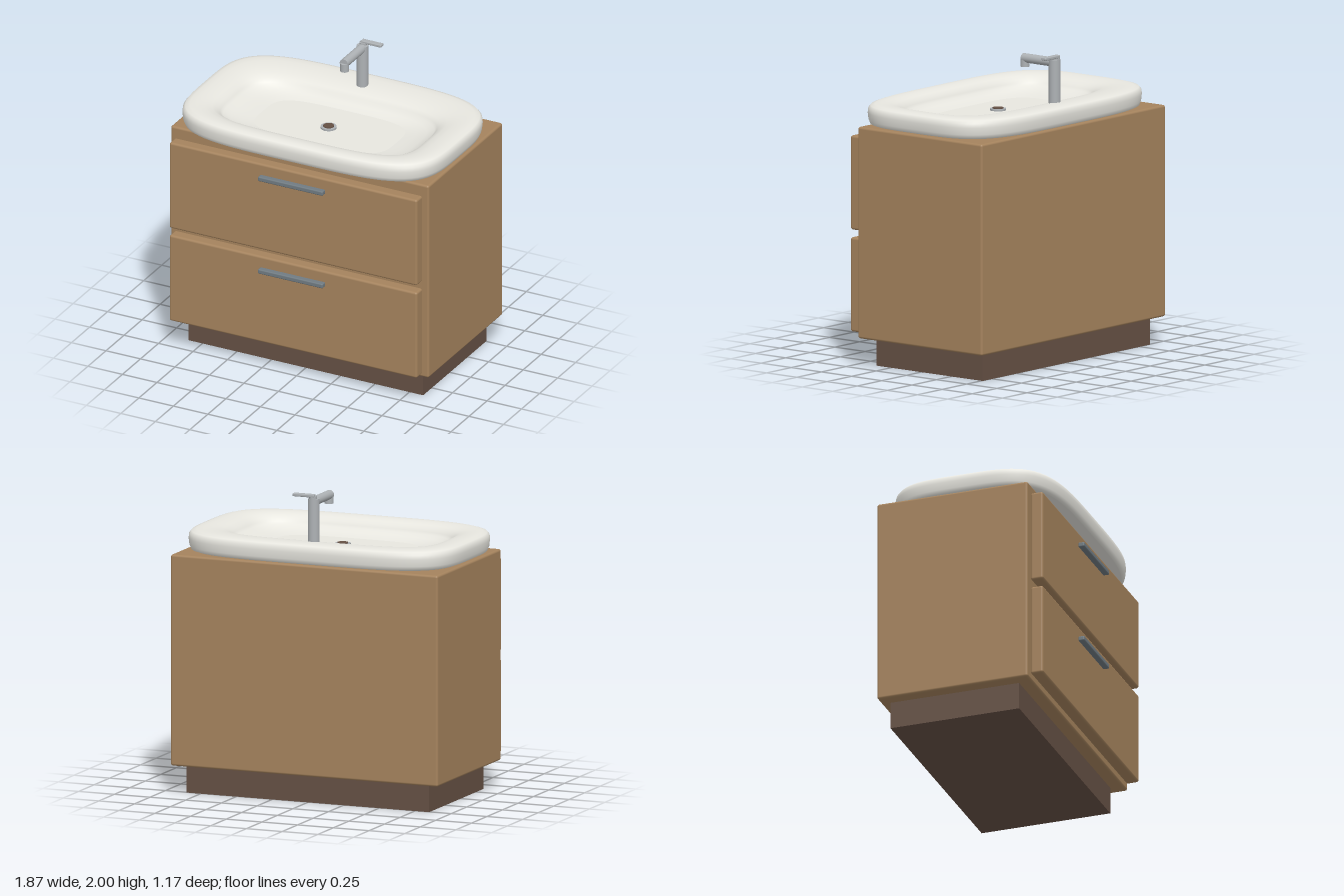
import * as THREE from 'three';
import { RoundedBoxGeometry } from 'three/addons/geometries/RoundedBoxGeometry.js';

const mat = (name, color, side = THREE.FrontSide) => {
  const m = new THREE.MeshStandardMaterial({ color, side });
  m.name = name;
  return m;
};

export function createModel() {
  const root = new THREE.Group();
  root.name = 'washstand';
  const wood = mat('wood', 0xa5835d);
  const darkWood = mat('dark wood', 0x655044);
  const ceramic = mat('white ceramic', 0xeeede6, THREE.DoubleSide);
  const chrome = mat('brushed metal', 0xadb1b4);
  const steel = mat('dark steel', 0x707b82);

  const add = (name, geo, material, x, y, z, parent = root) => {
    const m = new THREE.Mesh(geo, material);
    m.name = name;
    m.position.set(x, y, z);
    parent.add(m);
    return m;
  };
  const rounded = (w, h, d, r) => new RoundedBoxGeometry(w, h, d, 3, r);
  const tube = (r, h) => new THREE.CylinderGeometry(r, r, h, 32);

  // Cabinet body and recessed plinth
  add('plinth', new THREE.BoxGeometry(1.7, 0.185, 0.88), darkWood, 0, 0.0925, -0.07);
  add('cabinet', rounded(1.87, 1.38, 1.03, 0.015), wood, 0, 0.87, -0.057);

  // Two drawers with bar handles
  for (const [label, y, handleY] of [['lower', 0.517, 0.735], ['upper', 1.182, 1.4]]) {
    const drawer = new THREE.Group();
    drawer.name = label + 'Drawer';
    root.add(drawer);
    add('drawerFront', rounded(1.795, 0.615, 0.085, 0.015), wood, 0, y, 0.507, drawer);
    add('handle', rounded(0.47, 0.032, 0.042, 0.008), steel, 0, handleY, 0.569, drawer);
  }

  // Basin: loops of rounded rectangles, each [half width, half depth, height, centre z]
  const loft = (rings, capFacingUp) => {
    const N = 128, pos = [], idx = [];
    for (const [a, b, y, cz] of rings) {
      for (let i = 0; i < N; i++) {
        const t = (i / N) * Math.PI * 2, c = Math.cos(t), s = Math.sin(t);
        // exponent 4 superellipse in polar form
        const k = 1 / Math.pow(c ** 4 + s ** 4, 0.25);
        pos.push(a * c * k, y, cz + b * s * k);
      }
    }
    for (let r = 0; r < rings.length - 1; r++) {
      for (let i = 0; i < N; i++) {
        const p = r * N + i, q = r * N + (i + 1) % N;
        idx.push(p, p + N, q, q, p + N, q + N);
      }
    }
    // optional flat cap closing a single ring
    if (capFacingUp !== undefined) {
      const [, , y, cz] = rings[0];
      pos.push(0, y, cz);
      for (let i = 0; i < N; i++) {
        const j = (i + 1) % N;
        capFacingUp ? idx.push(N, j, i) : idx.push(N, i, j);
      }
    }
    const g = new THREE.BufferGeometry();
    g.setAttribute('position', new THREE.Float32BufferAttribute(pos, 3));
    g.setIndex(idx);
    g.computeVertexNormals();
    return g;
  };
  const basin = new THREE.Group();
  basin.name = 'basin';
  root.add(basin);
  const base = [0.905, 0.56, 1.564, 0], floor = [0.485, 0.252, 1.585, 0.04];
  const profile = [
    base, [0.92, 0.573, 1.57, 0], [0.93, 0.581, 1.595, 0], [0.935, 0.585, 1.64, 0],
    [0.932, 0.582, 1.668, 0], [0.918, 0.57, 1.686, 0], [0.89, 0.545, 1.694, 0.003],
    [0.85, 0.505, 1.695, 0.012], [0.8, 0.455, 1.691, 0.026], [0.75, 0.405, 1.68, 0.041],
    [0.715, 0.372, 1.663, 0.051], [0.697, 0.356, 1.643, 0.055], [0.68, 0.346, 1.627, 0.055],
    [0.63, 0.322, 1.608, 0.052], [0.56, 0.288, 1.594, 0.046], floor,
  ];
  add('basinShell', loft(profile), ceramic, 0, 0, 0, basin);
  add('basinFloor', loft([floor], true), ceramic, 0, 0, 0, basin);
  add('basinUnderside', loft([base], false), ceramic, 0, 0, 0, basin);

  // Drain
  add('drainRing', tube(0.052, 0.014), chrome, 0, 1.59, 0.055, basin);
  add('drainPlug', tube(0.035, 0.012), darkWood, 0, 1.597, 0.055, basin);

  // Tap: column, spout, nozzle and side lever
  const tap = new THREE.Group();
  tap.name = 'tap';
  root.add(tap);
  add('column', tube(0.038, 0.285), chrome, 0, 1.827, -0.413, tap);
  add('spout', tube(0.03, 0.28), chrome, 0, 1.951, -0.295, tap).rotation.x = Math.PI / 2;
  add('nozzle', tube(0.029, 0.055), chrome, 0, 1.923, -0.167, tap);
  add('leverHub', tube(0.025, 0.03), chrome, 0, 1.973, -0.425, tap);
  add('lever', rounded(0.15, 0.02, 0.037, 0.006), chrome, 0.06, 1.99, -0.431, tap);

  return root;
}
